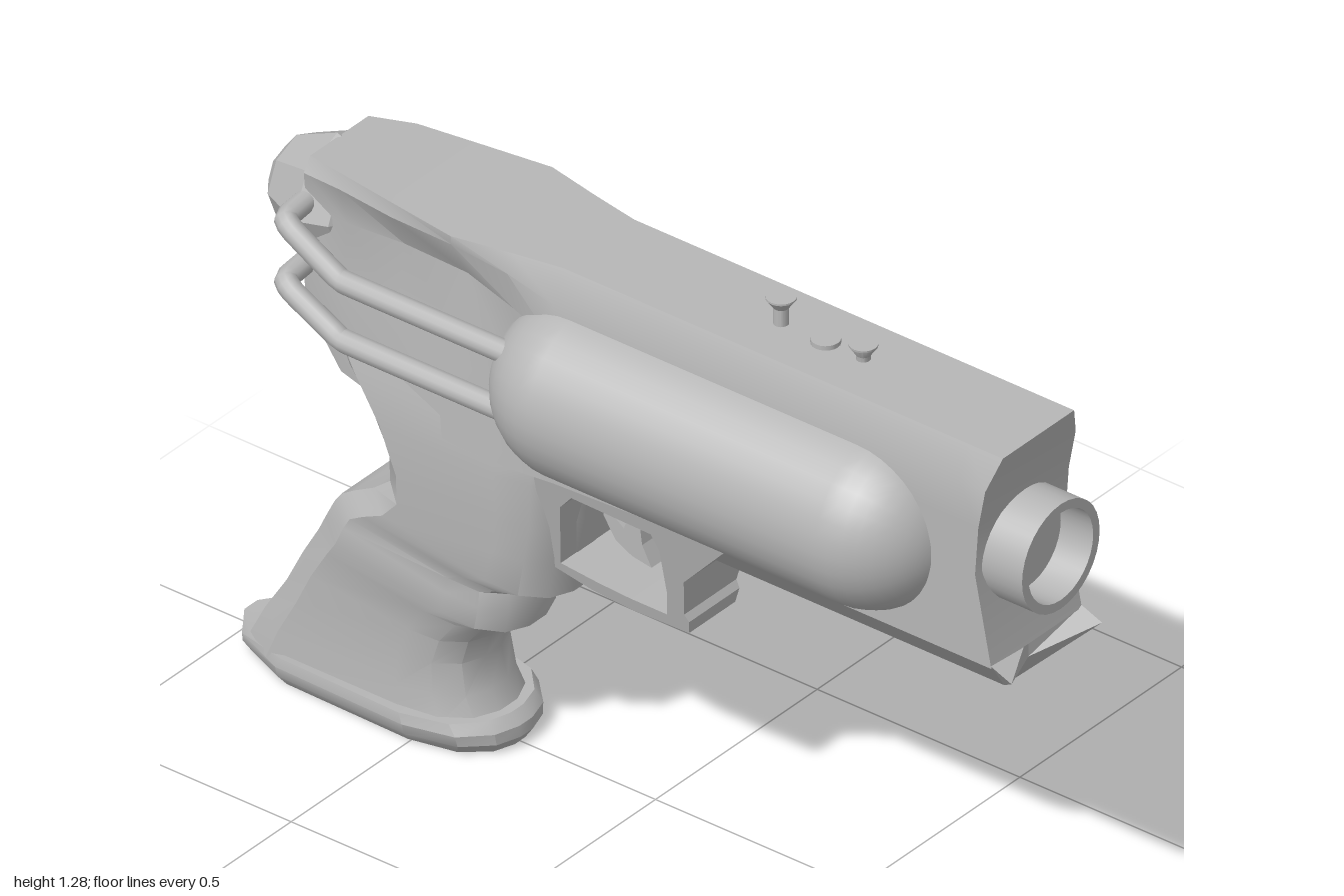
import * as THREE from 'three';
import { toCreasedNormals } from 'three/addons/utils/BufferGeometryUtils.js';

const grey = new THREE.MeshStandardMaterial({ color: 0xb6b6b6 });
grey.name = 'plain grey';

// Skin rings of [x, y, z] half-sections (mirrored in z) and cap both ends.
function loft(halves, crease = 0.6) {
  const pos = [], idx = [];
  const h = halves[0].length, n = h * 2;
  for (const half of halves) {
    for (const p of half) pos.push(...p);
    for (const p of [...half].reverse()) pos.push(p[0], p[1], -p[2]);
  }
  const quad = (a, b, c, d) => idx.push(a, b, c, a, c, d);
  for (let r = 0; r < halves.length - 1; r++) {
    for (let i = 0; i < n; i++) {
      const j = (i + 1) % n, a = r * n, b = a + n;
      quad(a + i, a + j, b + j, b + i);
    }
  }
  const e = (halves.length - 1) * n;
  for (let i = 0; i < h - 1; i++) {
    quad(i + 1, i, n - 1 - i, n - 2 - i);
    quad(e + i, e + i + 1, e + n - 2 - i, e + n - 1 - i);
  }
  // Turn the skin outwards if its volume is negative.
  const v = (k) => new THREE.Vector3().fromArray(pos, idx[k] * 3);
  let volume = 0;
  for (let k = 0; k < idx.length; k += 3) volume += v(k).dot(v(k + 1).cross(v(k + 2)));
  if (volume < 0) idx.reverse();
  const g = new THREE.BufferGeometry();
  g.setAttribute('position', new THREE.Float32BufferAttribute(pos, 3));
  g.setIndex(idx);
  return toCreasedNormals(g, crease);
}

const lathe = (pts, sides, crease = 0.6) =>
  toCreasedNormals(new THREE.LatheGeometry(pts.map((p) => new THREE.Vector2(...p)), sides), crease);

function plate(outer, hole, depth) {
  const toV = (pts) => pts.map((p) => new THREE.Vector2(...p));
  const shape = new THREE.Shape(toV(outer));
  shape.holes.push(new THREE.Path(toV(hole)));
  return new THREE.ExtrudeGeometry(shape, { depth, bevelEnabled: false }).translate(0, 0, -depth / 2);
}

export function createModel() {
  const model = new THREE.Group();
  const add = (name, geometry) => {
    const m = new THREE.Mesh(geometry, grey);
    m.name = name;
    model.add(m);
    return m;
  };

  // Upper body: x, then half-widths and heights of top, shoulder, waist, flank, bottom
  const body = [
    [-0.78, 0.09, 1.21, 0.11, 1.18, 0.10, 1.08, 0.11, 0.95, 0.10, 0.87],
    [-0.68, 0.115, 1.22, 0.125, 1.19, 0.10, 1.10, 0.12, 0.95, 0.12, 0.77],
    [-0.54, 0.135, 1.22, 0.14, 1.19, 0.10, 1.11, 0.12, 0.95, 0.13, 0.74],
    [-0.38, 0.157, 1.22, 0.155, 1.20, 0.105, 1.11, 0.12, 0.95, 0.14, 0.73],
    [-0.25, 0.13, 1.22, 0.145, 1.18, 0.125, 1.09, 0.13, 0.95, 0.14, 0.73],
    [-0.14, 0.11, 1.22, 0.14, 1.15, 0.14, 1.06, 0.14, 0.95, 0.14, 0.74],
    [0.10, 0.11, 1.22, 0.14, 1.15, 0.14, 1.06, 0.14, 0.95, 0.14, 0.75],
    [0.86, 0.11, 1.22, 0.14, 1.15, 0.14, 1.06, 0.14, 0.95, 0.14, 0.75],
  ].map(([x, ...s]) => [0, 2, 4, 6, 8].map((k) => [x, s[k + 1], s[k]]));
  // Hollowed muzzle face
  body.push([[0.945, 1.22, 0.11], [0.925, 1.15, 0.14], [0.908, 1.06, 0.14],
    [0.90, 0.95, 0.14], [0.94, 0.75, 0.14]]);
  add('upperBody', loft(body, 0.5));

  // Grip: back x, back y, front x, front y, half-width of each slanted section
  const plan = [[0, 0.6], [0.14, 1], [0.7, 1], [0.86, 0.9], [0.96, 0.6], [1, 0.2]];
  const grip = [
    [-0.935, 0.05, -0.355, 0.06, 0.135],
    [-0.90, 0.12, -0.385, 0.11, 0.13],
    [-0.85, 0.20, -0.40, 0.18, 0.125],
    [-0.81, 0.28, -0.385, 0.235, 0.125],
    [-0.77, 0.35, -0.345, 0.285, 0.125],
    [-0.75, 0.39, -0.29, 0.295, 0.13],
    [-0.73, 0.43, -0.282, 0.35, 0.13],
    [-0.715, 0.452, -0.285, 0.385, 0.125],
    [-0.68, 0.475, -0.24, 0.405, 0.13],
    [-0.63, 0.503, -0.18, 0.42, 0.135],
    [-0.59, 0.535, -0.17, 0.51, 0.135],
    [-0.59, 0.60, -0.15, 0.60, 0.14],
    [-0.64, 0.70, -0.14, 0.70, 0.14],
    [-0.72, 0.80, -0.12, 0.76, 0.135],
    [-0.78, 0.865, -0.12, 0.82, 0.12],
    [-0.77, 0.94, -0.12, 0.90, 0.105],
  ].map(([bx, by, fx, fy, w]) => plan.map(([u, k]) => [bx + (fx - bx) * u, by + (fy - by) * u, w * k]));
  add('grip', loft(grip, 0.6));

  // Flared foot of the grip
  const foot = [[-1, 0.02], [-0.95, 0.09], [-0.82, 0.15], [-0.5, 0.158], [-0.39, 0.13], [-0.335, 0.075], [-0.318, 0.02]];
  add('gripFoot', loft([[0, 0.95, 0.82], [0.025, 1, 0.95], [0.05, 0.995, 1], [0.072, 0.93, 0.98]].map(
    ([y, sx, sz]) => foot.map(([x, z]) => [-0.65 + (x + 0.65) * sx, x < -0.9 ? Math.min(y, 0.045) : y, z * sz])), 0.5));

  // V-shaped keel under the barrel with a notched nose
  const notch = [0.92, 0.70, 0];
  add('keel', loft([
    [[0.28, 0.755, 0], [0.28, 0.75, 0.14], [0.15, 0.61, 0]],
    [[0.92, 0.755, 0], [0.94, 0.755, 0.14], [0.86, 0.61, 0]],
    [notch, [0.99, 0.735, 0.14], [0.86, 0.61, 0]],
    [notch, notch, notch],
  ], 0.1));

  // Trigger guard, widening towards the body
  const guard = plate(
    [[-0.2, 0.5], [-0.1, 0.478], [0, 0.47], [0.14, 0.475], [0.145, 0.505], [0.135, 0.52], [0.15, 0.61], [0.28, 0.75], [0.28, 0.78], [-0.2, 0.78]],
    [[-0.17, 0.515], [-0.08, 0.505], [0, 0.5], [0.09, 0.5], [0.1, 0.56], [0.1, 0.67], [0.085, 0.705], [-0.11, 0.71], [-0.145, 0.67]], 2);
  const gp = guard.attributes.position;
  for (let i = 0; i < gp.count; i++) gp.setZ(i, gp.getZ(i) * (0.07 + (gp.getY(i) - 0.47) * 0.22));
  guard.computeVertexNormals();
  add('triggerGuard', guard);

  // Hooked trigger
  add('trigger', plate(
    [[-0.11, 0.73], [-0.1, 0.63], [-0.07, 0.585], [-0.03, 0.565], [0.018, 0.557], [-0.005, 0.6], [-0.012, 0.65], [0, 0.73]],
    [[-0.075, 0.69], [-0.07, 0.635], [-0.05, 0.62], [-0.04, 0.65], [-0.045, 0.69]], 0.07));

  // Hollow nozzle
  add('nozzle', lathe([[0.12, 0.8], [0.12, 1], [0.1, 1], [0.1, 0.92], [0, 0.92]], 32)
    .rotateZ(-Math.PI / 2).translate(0, 0.962, 0));

  // Faceted rear plug
  add('rearPlug', lathe([[0, 0.65], [0.11, 0.72], [0.135, 0.785], [0.09, 0.885], [0.05, 0.915], [0, 0.917]], 8, 0.1)
    .rotateZ(Math.PI / 2).translate(0, 1.08, 0));

  // Side tanks, each with two bent pipes
  for (const s of [1, -1]) {
    const side = s > 0 ? 'left' : 'right';
    add(side + 'Tank', new THREE.CapsuleGeometry(0.19, 0.71, 10, 32)
      .rotateZ(Math.PI / 2).translate(0.255, 0.95, s * 0.086));
    for (const [name, y, rise] of [['Upper', 1.03, 0.08], ['Lower', 0.895, 0.075]]) {
      const path = new THREE.CatmullRomCurve3([
        [-0.2, y, 0.183], [-0.61, y, 0.183], [-0.64, y + 0.006, 0.183], [-0.75, y + rise - 0.012, 0.183],
        [-0.775, y + rise, 0.17], [-0.78, y + rise + 0.005, 0.09],
      ].map(([px, py, pz]) => new THREE.Vector3(px, py, s * pz)), false, 'catmullrom', 0.2);
      add(side + name + 'Pipe', new THREE.TubeGeometry(path, 48, 0.024, 12));
    }
  }

  // Knobs on top
  for (const [x, top, r] of [[0.31, 1.282, 0.031], [0.42, 1.23, 0.03], [0.513, 1.255, 0.029]]) {
    const low = top < 1.24, neck = low ? r : r * 0.5;
    add('topKnob', lathe([[neck, 1.2], [neck, top - (low ? 0.005 : 0.025)], [r, top - 0.004], [r, top], [0, top]], 20)
      .translate(x, 0, 0));
  }
  return model;
}
